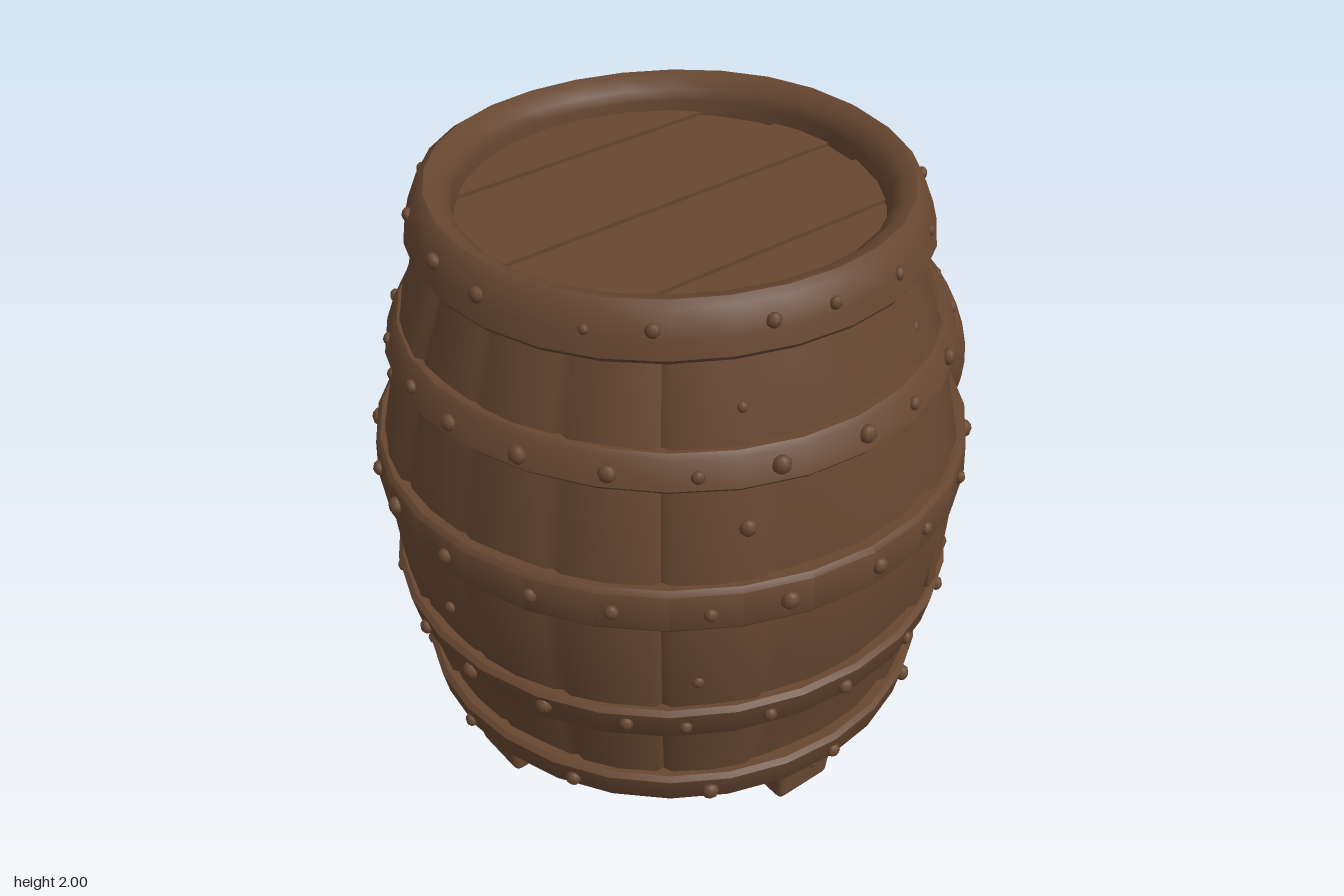
import * as THREE from 'three';
import { toCreasedNormals } from 'three/addons/utils/BufferGeometryUtils.js';
import { RoundedBoxGeometry } from 'three/addons/geometries/RoundedBoxGeometry.js';

const V2 = (p) => new THREE.Vector2(p[0], p[1]);

export function createModel() {
  const model = new THREE.Group();
  model.name = 'barrel';
  const wood = new THREE.MeshStandardMaterial({ color: 0x664630 });
  wood.name = 'dark brown wood';

  // Everything round shares the barrel axis, slightly left of centre
  const barrel = new THREE.Group();
  barrel.name = 'barrelBody';
  barrel.position.x = -0.04;
  model.add(barrel);

  let seed = 7;
  const rand = () => (seed = (seed * 16807) % 2147483647) / 2147483647;
  const add = (name, geometry, parent = barrel) => {
    const mesh = new THREE.Mesh(geometry, wood);
    mesh.name = name;
    parent.add(mesh);
    return mesh;
  };

  // Bulging outline of the staves: height and radius
  const outline = [[0.25, 0.81], [0.31, 0.82], [0.45, 0.855], [0.6, 0.886], [0.8, 0.918], [1.0, 0.93],
    [1.2, 0.911], [1.4, 0.868], [1.6, 0.825], [1.75, 0.77], [1.86, 0.735]];
  const radiusAt = (y) => {
    const i = Math.max(1, outline.findIndex((p) => p[0] >= y));
    const [a, b] = [outline[i - 1], outline[i]];
    return a[1] + (b[1] - a[1]) * (y - a[0]) / (b[0] - a[0]);
  };

  // Staves: four columns each, with fine grooves between them
  const COUNT = 18, step = (Math.PI * 2) / COUNT;
  const staveOffset = Array.from({ length: COUNT }, () => (rand() - 0.5) * 0.022);
  const staves = new THREE.LatheGeometry(outline.map(([y, r]) => new THREE.Vector2(r, y)), COUNT * 4);
  const pos = staves.attributes.position;
  for (let i = 0; i < pos.count; i++) {
    const column = Math.floor(i / outline.length) % (COUNT * 4);
    const stave = Math.floor(column / 4), part = column % 4;
    const y = pos.getY(i);
    const angle = (stave + [0, 0.1, 0.5, 0.92][part]) * step;
    const r = Math.hypot(pos.getX(i), pos.getZ(i)) + (part ? staveOffset[stave] : -0.012)
      + (part === 2 ? 0.006 * Math.sin(y * 7 + stave * 2) : 0);
    pos.setXYZ(i, r * Math.sin(angle), y, r * Math.cos(angle));
  }
  add('staves', toCreasedNormals(staves, 1));

  // Ring turned from a closed profile, with a slight hand-made wobble
  const ring = (name, profile, wobble, phase, sides = 28) => {
    const g = new THREE.LatheGeometry([...profile, profile[0]].map(V2), sides);
    const p = g.attributes.position;
    for (let i = 0; i < p.count; i++) {
      const a = Math.atan2(p.getX(i), p.getZ(i));
      p.setY(i, p.getY(i) + wobble * Math.sin(a * 3 + phase));
    }
    return add(name, toCreasedNormals(g, 0.75));
  };

  // Rivets facing outward from the axis
  const rivetShape = new THREE.SphereGeometry(0.025, 8, 6);
  const rivet = (angle, r, y, size = 1) => {
    const m = add('rivet', rivetShape);
    m.position.set(r * Math.sin(angle), y, r * Math.cos(angle));
    m.rotation.y = angle;
    m.scale.set(size, size, size * 0.8);
  };

  // Hoops: low edge, high edge, radius at each, rivet count and height
  const hoops = [
    [0.19, 0.31, 0.84, 0.86, 12, 0.235],
    [0.545, 0.675, 0.908, 0.932, 22, 0.61],
    [1.02, 1.165, 0.96, 0.955, 22, 1.09],
    [1.47, 1.58, 0.892, 0.862, 22, 1.52],
  ];
  hoops.forEach(([y0, y1, r0, r1, n, ry], k) => {
    const inner = k === 0 ? 0.805 : Math.min(radiusAt(y0), radiusAt(y1)) - 0.03;
    ring('hoop', [[inner, y0], [r0 - 0.01, y0], [r0, y0 + 0.012], [r1, y1 - 0.015], [r1 - 0.015, y1], [inner, y1]],
      k ? 0.005 : 0.002, k * 1.7);
    for (let i = 0; i < n; i++) {
      const a = ((i + (k ? (rand() - 0.5) * 0.35 : 0)) / n) * Math.PI * 2;
      const nearBung = k === 2 && Math.abs(a - Math.PI / 2) < 0.42;
      if (!nearBung) rivet(a, (r0 + r1) / 2, ry + (rand() - 0.5) * 0.015, 0.8 + rand() * 0.4);
    }
  });

  // Rounded top rim
  ring('topRim', [[0.71, 1.83], [0.79, 1.83], [0.8, 1.845], [0.785, 1.9], [0.755, 1.975], [0.73, 1.992],
    [0.695, 1.985], [0.66, 1.955], [0.65, 1.92], [0.65, 1.84]], 0.006, 2.2);
  for (let i = 0; i < 18; i++) {
    rivet(((i + (rand() - 0.5) * 0.5) / 18) * Math.PI * 2, 0.778, 1.9 + rand() * 0.03, 0.6 + rand() * 0.4);
  }

  // Planked disc: slices of a circle, cut at the given lines
  const plankedDisc = (name, radius, cuts, depth, parent) => {
    const group = new THREE.Group();
    group.name = name;
    parent.add(group);
    for (let i = 0; i + 1 < cuts.length; i++) {
      const a = cuts[i], b = cuts[i + 1], pts = [];
      for (let k = 0; k <= 8; k++) {
        const y = a + ((b - a) * k) / 8;
        pts.push(new THREE.Vector2(Math.sqrt(Math.max(0, radius * radius - y * y)), y));
      }
      const left = pts.slice().reverse().map((p) => new THREE.Vector2(-p.x, p.y));
      const g = new THREE.ExtrudeGeometry(new THREE.Shape([...pts, ...left]),
        { depth: depth + (i % 2) * 0.012, bevelEnabled: false });
      add('plank', g, group);
    }
    return group;
  };

  // Sunken lid and underside
  const lid = plankedDisc('lid', 0.67, [-0.67, -0.38, -0.13, 0.01, 0.22, 0.44, 0.67], 0.04, barrel);
  lid.rotation.x = -Math.PI / 2;
  lid.position.y = 1.83;
  const base = plankedDisc('underside', 0.82, [-0.82, -0.2, 0.3, 0.82], 0.03, barrel);
  base.rotation.x = Math.PI / 2;
  base.position.y = 0.28;

  // Four tapered feet under the hoop, each with a rivet
  for (let i = 0; i < 4; i++) {
    const a = (i * Math.PI) / 2;
    const shift = -0.03 * Math.abs(Math.cos(a));
    const g = new RoundedBoxGeometry(0.25, 0.3, 0.195, 2, 0.025);
    const p = g.attributes.position;
    for (let k = 0; k < p.count; k++) {
      const s = 0.93 + p.getY(k) * 0.5;
      p.setX(k, p.getX(k) * s);
      p.setZ(k, p.getZ(k) * s + p.getY(k) * 0.06);
    }
    const foot = add('foot', g);
    foot.position.set(0.68 * Math.sin(a) + shift, 0.15, 0.68 * Math.cos(a));
    foot.rotation.y = a;
    rivet(a, 0.758, 0.1, 0.8);
  }

  // Round bung plate on the left side: broad ring with a planked panel, tilted a little
  const bung = new THREE.Group();
  bung.name = 'bung';
  bung.position.set(0.79, 1.087, -0.013);
  bung.rotation.set(0, Math.PI / 2 - 0.025, 0);
  model.add(bung);
  const frame = ring('bungRing', [[0.27, 0], [0.365, 0], [0.385, 0.07], [0.386, 0.155], [0.37, 0.178],
    [0.33, 0.192], [0.29, 0.192], [0.272, 0.175]], 0.004, 0.5, 32);
  frame.rotation.x = Math.PI / 2 - 0.025;
  bung.add(frame);
  plankedDisc('bungPanel', 0.278, [-0.278, 0.02, 0.278], 0.14, bung);

  // Nails and knots scattered on the staves
  for (const [a, y, size] of [[-0.42, 1.68, 0.7], [0.42, 1.68, 0.7], [-0.42, 1.33, 1.1], [1.1, 1.66, 0.7],
    [2.2, 1.68, 0.8], [-0.58, 0.79, 0.8], [2.7, 0.8, 0.9], [-2.1, 1.35, 0.9], [-1.5, 0.82, 0.8]]) {
    rivet(a, radiusAt(y), y, size);
  }

  // Small repair patch on the front
  const patch = add('repairPatch', new RoundedBoxGeometry(0.07, 0.24, 0.04, 2, 0.012));
  patch.position.set(0.918 * Math.sin(0.43), 0.87, 0.918 * Math.cos(0.43));
  patch.rotation.y = 0.43;

  return model;
}
